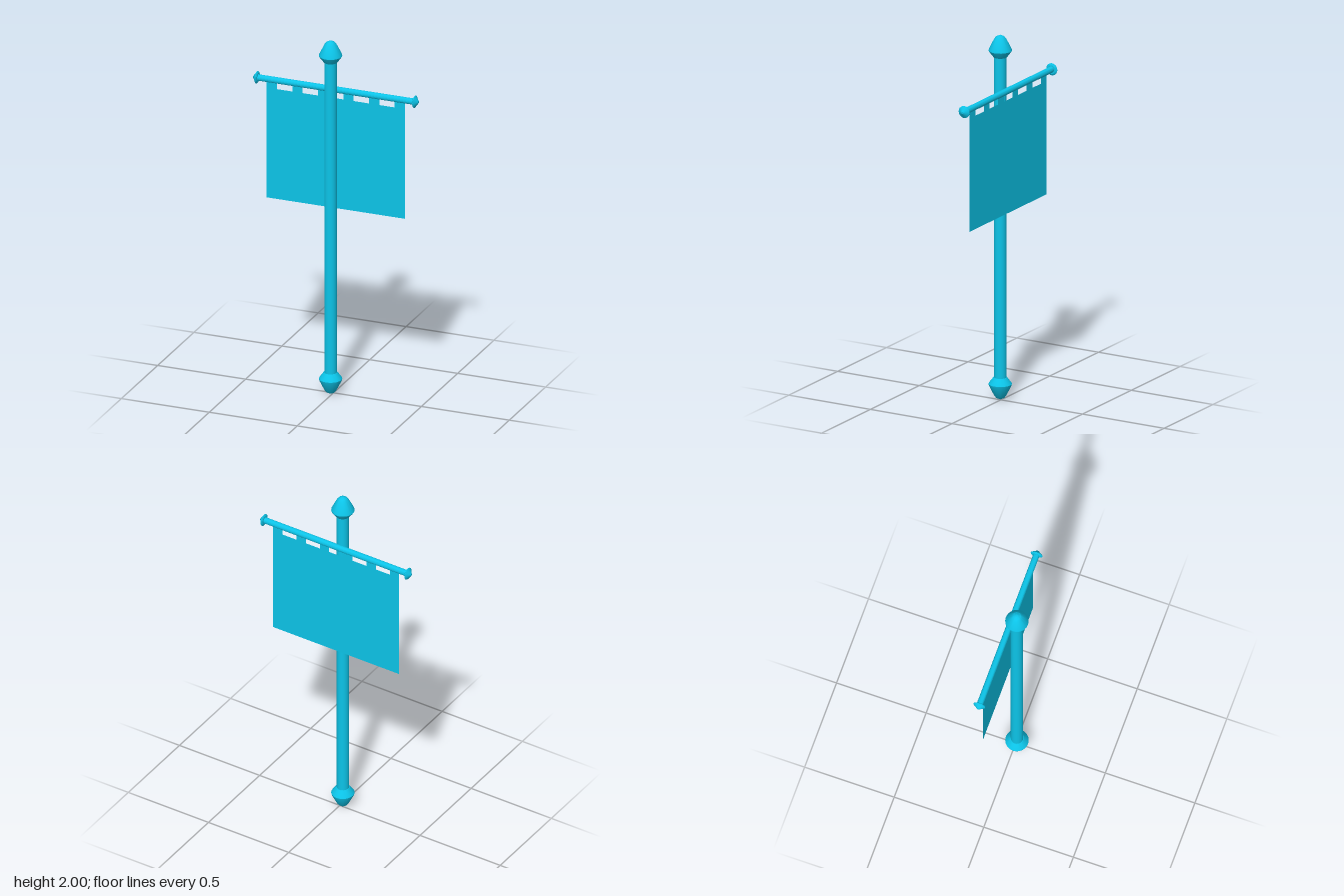
import * as THREE from 'three';
import { toCreasedNormals } from 'three/addons/utils/BufferGeometryUtils.js';

const SIDES = 20;
const POLE = { x: -0.012, z: 0.011, r: 0.033 };
const ROD = { x: -0.003, y: 1.705, z: -0.042, r: 0.017, half: 0.442 };

const paint = new THREE.MeshStandardMaterial({ color: 0x0cc4e8 });
const clothPaint = new THREE.MeshStandardMaterial({ color: 0x0cc4e8, side: THREE.DoubleSide });

// Turned part from [radius, height] pairs, listed from bottom to top
function turned(name, profile) {
  const points = profile.map(([r, y]) => new THREE.Vector2(r, y));
  const geometry = toCreasedNormals(new THREE.LatheGeometry(points, SIDES), 0.45);
  const mesh = new THREE.Mesh(geometry, paint);
  mesh.name = name;
  return mesh;
}

// Pointed cap with its base at y = 0 and its tip up
const poleCap = [[0, 0], [0.036, 0], [0.058, 0.029], [0.062, 0.036], [0.06, 0.044], [0.032, 0.1], [0.022, 0.112], [0.006, 0.12], [0, 0.12]];
const rodKnob = [[0, 0], [0.024, 0], [0.033, 0.005], [0.033, 0.008], [0.006, 0.027], [0, 0.028]];

// Cloth outline: a rectangle with evenly spaced hanging tabs along the top
function bannerCloth() {
  const left = -0.397, right = 0.389, bottom = 1.032, top = 1.655, tabTop = ROD.y - 0.008;
  const tabs = 6, tabWidth = 0.058;
  const step = (right - left - tabWidth) / (tabs - 1);
  const shape = new THREE.Shape();
  shape.moveTo(left, bottom);
  shape.lineTo(right, bottom);
  for (let i = tabs - 1; i >= 0; i--) {
    const x = left + i * step;
    shape.lineTo(x + tabWidth, top);
    shape.lineTo(x + tabWidth, tabTop);
    shape.lineTo(x, tabTop);
    shape.lineTo(x, top);
  }
  const mesh = new THREE.Mesh(new THREE.ShapeGeometry(shape), clothPaint);
  mesh.name = 'bannerCloth';
  mesh.position.z = ROD.z;
  return mesh;
}

export function createModel() {
  const model = new THREE.Group();
  model.name = 'bannerStand';

  // Upright pole with a cap at each end
  const pole = new THREE.Group();
  pole.name = 'pole';
  pole.position.set(POLE.x, 0, POLE.z);
  const shaft = turned('poleShaft', [[POLE.r, 0.11], [POLE.r, 1.89]]);
  const topCap = turned('topCap', poleCap);
  topCap.position.y = 1.88;
  const bottomCap = turned('bottomCap', poleCap);
  bottomCap.position.y = 0.12;
  bottomCap.rotation.x = Math.PI;
  pole.add(shaft, topCap, bottomCap);

  // Crossbar behind the pole with a knob at each end
  const crossbar = new THREE.Group();
  crossbar.name = 'crossbar';
  crossbar.position.set(ROD.x, ROD.y, ROD.z);
  const rod = turned('crossbarRod', [[ROD.r, -ROD.half], [ROD.r, ROD.half]]);
  rod.rotation.z = Math.PI / 2;
  crossbar.add(rod);
  for (const side of [-1, 1]) {
    const knob = turned(side > 0 ? 'leftKnob' : 'rightKnob', rodKnob);
    knob.position.x = side * ROD.half;
    knob.rotation.z = -side * Math.PI / 2;
    crossbar.add(knob);
  }

  model.add(pole, crossbar, bannerCloth());
  return model;
}
